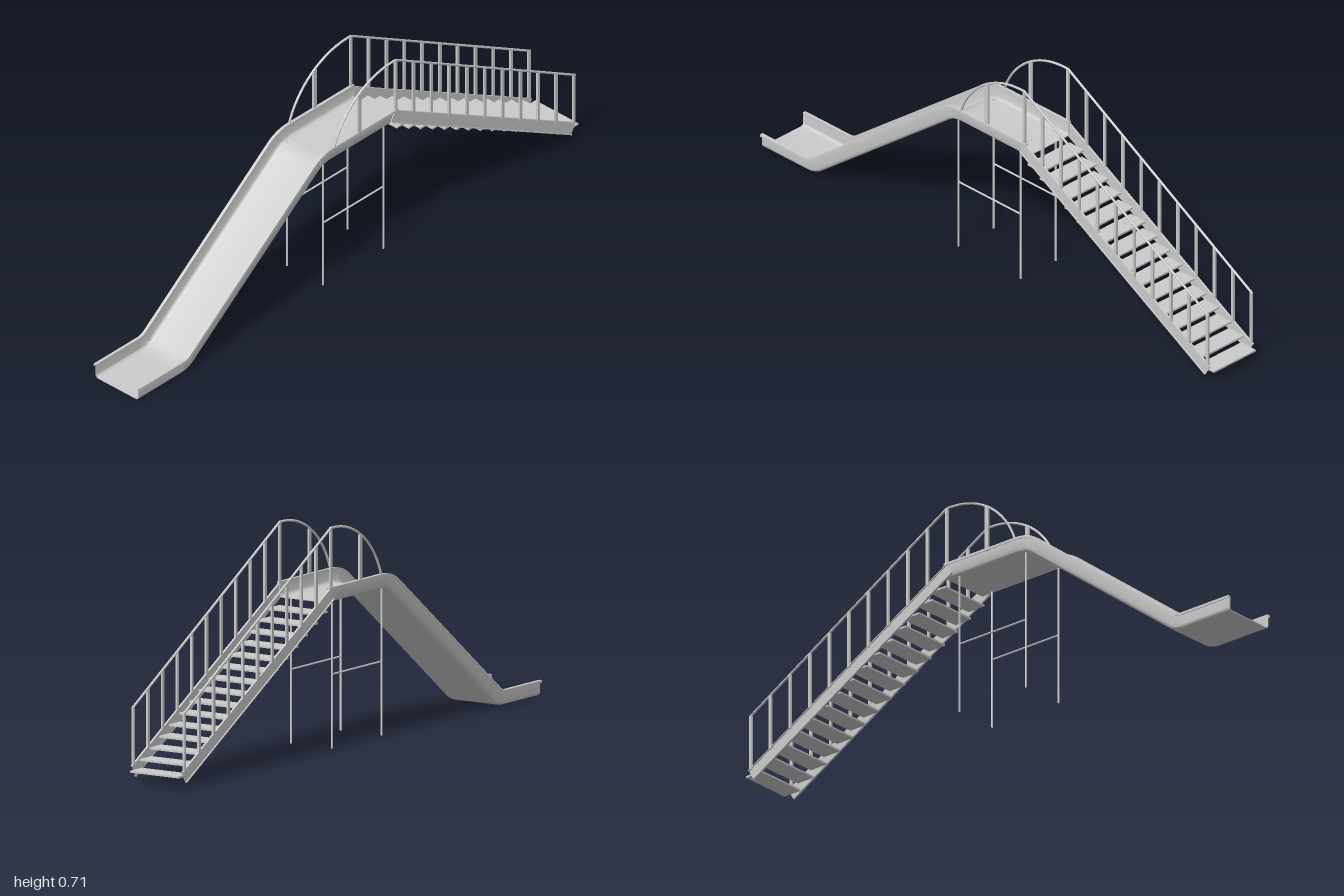
import * as THREE from 'three';
import { toCreasedNormals } from 'three/addons/utils/BufferGeometryUtils.js';

const material = new THREE.MeshStandardMaterial({ color: 0xcccccc });

function add(parent, name, geometry) {
  const mesh = new THREE.Mesh(geometry, material);
  mesh.name = name;
  parent.add(mesh);
  return mesh;
}

// Rectangular bar at x, running between two [z, y] points
function bar(parent, name, x, a, b, width, height) {
  const dz = b[0] - a[0], dy = b[1] - a[1];
  const mesh = add(parent, name, new THREE.BoxGeometry(width, height, Math.hypot(dz, dy)));
  mesh.position.set(x, (a[1] + b[1]) / 2, (a[0] + b[0]) / 2);
  mesh.rotation.x = -Math.atan2(dy, dz);
  return mesh;
}

// Round rod at x, through [z, y] points
function rod(parent, name, x, points, radius) {
  const path = new THREE.CurvePath();
  for (let i = 1; i < points.length; i++) {
    const [p, q] = [points[i - 1], points[i]].map(([z, y]) => new THREE.Vector3(x, y, z));
    path.add(new THREE.LineCurve3(p, q));
  }
  return add(parent, name, toCreasedNormals(new THREE.TubeGeometry(path, points.length - 1, radius, 8), 1));
}

// Closed U-shaped section of the chute with a rolled outer lip
function chuteSection() {
  const right = [];
  const steps = 6;
  for (let i = 0; i <= steps; i++) {
    const t = (i / steps) * Math.PI / 2;
    right.push([0.08 + 0.012 * Math.sin(t), 0.012 - 0.012 * Math.cos(t)]);
  }
  right.push([0.092, 0.046], [0.0975, 0.046], [0.0975, 0.041], [0.1, 0.041], [0.1, 0.049], [0.099, 0.05], [0.089, 0.05]);
  for (let i = steps; i >= 0; i--) {
    const t = (i / steps) * Math.PI / 2;
    right.push([0.08 + 0.009 * Math.sin(t), 0.012 - 0.009 * Math.cos(t)]);
  }
  return [...right, ...right.map(([x, y]) => [-x, y]).reverse()];
}

// Path stations [z, y, slope angle]: platform, bend, slope, bend, run-out
function chutePath() {
  const top = [0.155, 0.468], foot = [0.77, 0];
  const theta = Math.atan2(top[1] - foot[1], foot[0] - top[0]);
  const R = 0.1, t = R * Math.tan(theta / 2), n = 8;
  const stations = [[-0.175, top[1], 0]];
  for (let i = 0; i <= n; i++) {
    const a = theta * i / n;
    stations.push([top[0] - t + R * Math.sin(a), top[1] - R + R * Math.cos(a), -a]);
  }
  for (let i = n; i >= 0; i--) {
    const a = theta * i / n;
    stations.push([foot[0] + t - R * Math.sin(a), R - R * Math.cos(a), -a]);
  }
  stations.push([1, 0, 0]);
  return stations;
}

function chuteGeometry() {
  const section = chuteSection(), path = chutePath(), n = section.length;
  const positions = [], index = [];
  for (const [z, y, a] of path)
    for (const [x, v] of section) positions.push(x, y + v * Math.cos(a), z - v * Math.sin(a));
  for (let i = 0; i < path.length - 1; i++)
    for (let j = 0; j < n; j++) {
      const a = i * n + j, b = i * n + (j + 1) % n;
      index.push(a, b, b + n, a, b + n, a + n);
    }
  // End caps
  const last = (path.length - 1) * n;
  const caps = THREE.ShapeUtils.triangulateShape(section.map(([x, y]) => new THREE.Vector2(x, y)), []);
  for (const [a, b, c] of caps) index.push(a, c, b, last + a, last + b, last + c);
  const geometry = new THREE.BufferGeometry();
  geometry.setAttribute('position', new THREE.Float32BufferAttribute(positions, 3));
  geometry.setIndex(index);
  return toCreasedNormals(geometry, 0.6);
}

export function createModel() {
  const model = new THREE.Group();
  model.name = 'playgroundSlide';
  add(model, 'chute', chuteGeometry());

  // Stair treads
  const stairs = new THREE.Group();
  stairs.name = 'stairs';
  model.add(stairs);
  const treads = 15, depth = 0.065;
  for (let k = 0; k < treads; k++) {
    const tread = add(stairs, 'tread', new THREE.BoxGeometry(0.184, 0.006, depth));
    tread.position.set(0, 0.039 + 0.0287 * k, -1 + depth / 2 + 0.0543 * k);
  }

  const stringerTop = z => 0.515 + 0.561 * (z + 0.165);
  const railHeight = z => 0.705 + 0.574 * (z + 0.165);

  for (const side of [-1, 1]) {
    const name = side > 0 ? 'left' : 'right';

    // Channel-shaped stair stringer
    const stringer = new THREE.Group();
    stringer.name = name + 'Stringer';
    model.add(stringer);
    const offset = d => [[-0.155 - 0.489 * d, 0.496 + 0.872 * d], [-0.975 - 0.489 * d, 0.036 + 0.872 * d]];
    bar(stringer, 'stringerWeb', side * 0.0935, ...offset(0), 0.003, 0.043);
    for (const d of [-0.02, 0.02])
      bar(stringer, 'stringerFlange', side * 0.0955, ...offset(d), 0.007, 0.003);

    // Handrail: arc over the platform, then straight down the stairs
    const rail = new THREE.Group();
    rail.name = name + 'Handrail';
    model.add(rail);
    const x = side * 0.096, arc = [];
    for (let i = 0; i <= 16; i++) {
      const a = 1.243 * (1 - i / 16);
      arc.push([-0.15 + 0.28 * Math.sin(a), 0.425 + 0.28 * Math.cos(a)]);
    }
    arc.push([-0.165, 0.705]);
    rod(rail, 'railArc', x, arc, 0.004);
    rod(rail, 'stairRail', x, [[-0.163, 0.706], [-0.98, railHeight(-0.98)]], 0.004);

    // Balusters
    bar(rail, 'platformPost', x, [0, 0.51], [0, 0.66], 0.007, 0.014);
    for (let i = 0; i <= 10; i++) {
      const z = -0.165 - 0.081 * i;
      bar(rail, 'railPost', x, [z, stringerTop(z) - 0.005], [z, railHeight(z)], 0.007, 0.01);
    }

    // Support legs with a tie bar
    const frame = new THREE.Group();
    frame.name = name + 'SupportFrame';
    model.add(frame);
    for (const z of [0.145, -0.13]) rod(frame, 'leg', side * 0.077, [[z, 0], [z, 0.472]], 0.0035);
    rod(frame, 'tieBar', side * 0.077, [[0.145, 0.235], [-0.13, 0.235]], 0.003);
  }
  return model;
}
